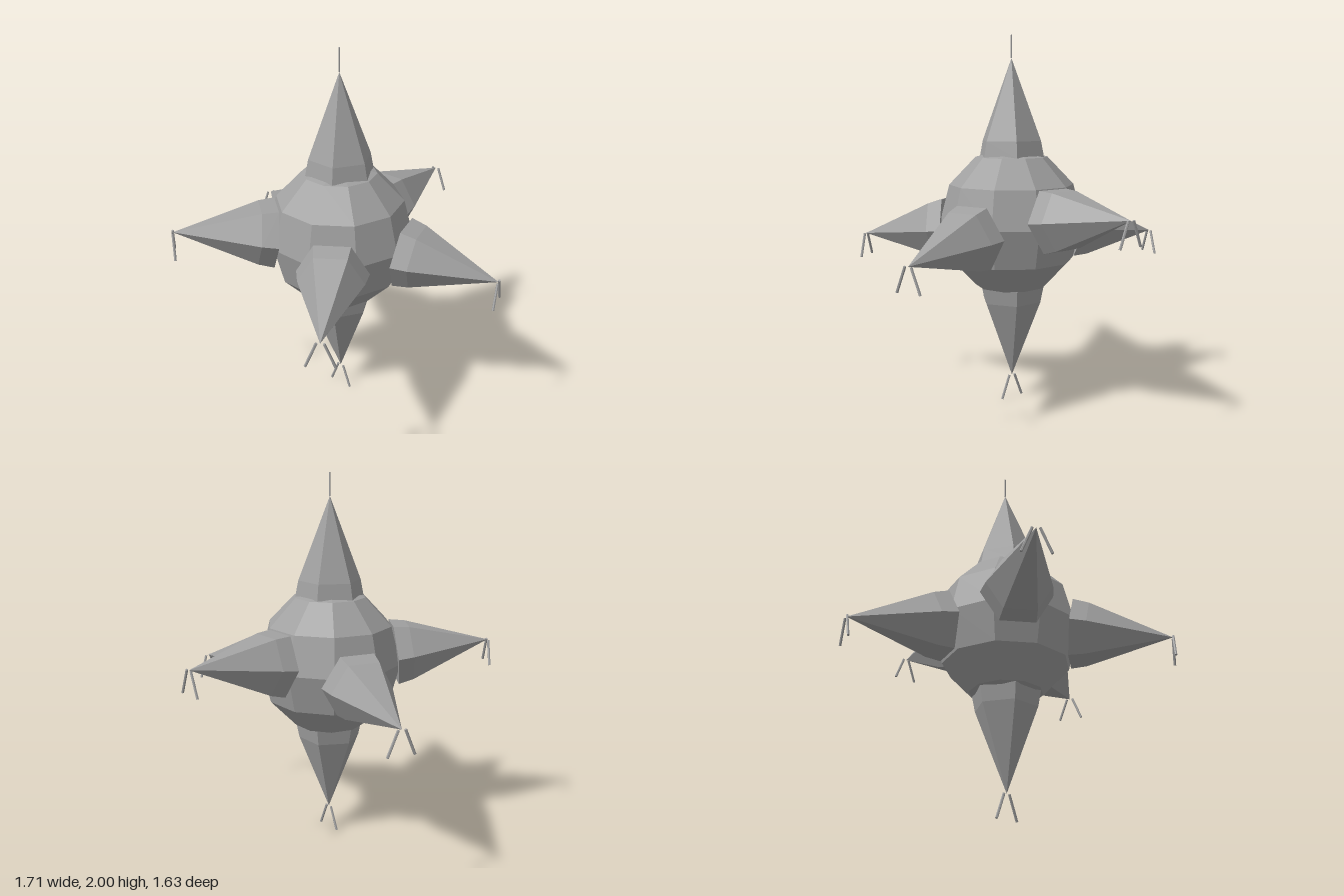
import * as THREE from 'three';

const CENTRE = new THREE.Vector3(0, 1.005, 0.065);
const REACH = 0.875; // centre to the tip of each point

export function createModel() {
  const model = new THREE.Group();
  model.name = 'starPinata';
  const paper = new THREE.MeshStandardMaterial({ color: 0xa0a0a0, flatShading: true });
  paper.name = 'grey paper';

  const add = (geometry, name) => {
    const mesh = new THREE.Mesh(geometry, paper);
    mesh.name = name;
    model.add(mesh);
    return mesh;
  };

  // Thin rod between two positions
  const rod = (from, to, radius, name) => {
    const along = to.clone().sub(from);
    const mesh = add(new THREE.CylinderGeometry(radius, radius, along.length(), 6), name);
    mesh.position.copy(from).add(to).multiplyScalar(0.5);
    mesh.quaternion.setFromUnitVectors(new THREE.Vector3(0, 1, 0), along.normalize());
  };

  // Faceted ball
  const body = add(new THREE.SphereGeometry(0.39, 10, 6), 'body');
  body.scale.y = 1.045;
  body.position.copy(CENTRE);

  // Six-sided point with a slightly bulging base
  const profile = [[0, 0.355], [0.185, 0.355], [0.168, 0.44], [0, REACH]];
  const spike = new THREE.LatheGeometry(profile.map(([r, y]) => new THREE.Vector2(r, y)), 6);
  spike.rotateY(Math.PI / 2);

  // Place a point along dir, with two of its ridges along side; returns its tip
  const addPoint = (name, dir, side) => {
    const mesh = add(spike, name);
    const third = new THREE.Vector3().crossVectors(side, dir);
    mesh.quaternion.setFromRotationMatrix(new THREE.Matrix4().makeBasis(side, dir, third));
    mesh.position.copy(CENTRE);
    return CENTRE.clone().addScaledVector(dir, REACH);
  };

  // Pair of streamers hanging from a tip, spread along side
  const addStreamers = (name, tip, side) => {
    for (const s of [-1, 1]) {
      const from = tip.clone().addScaledVector(side, s * 0.018);
      const to = tip.clone().addScaledVector(side, s * 0.07);
      to.y -= 0.128;
      rod(from, to, 0.007, name);
    }
  };

  // Upper point with its hanging string
  const xAxis = new THREE.Vector3(1, 0, 0);
  const top = addPoint('topPoint', new THREE.Vector3(0, 1, 0), xAxis);
  rod(top, new THREE.Vector3(0, 2, top.z), 0.004, 'hangingString');

  // Lower point
  const bottom = addPoint('bottomPoint', new THREE.Vector3(0, -1, 0), xAxis);
  addStreamers('bottomStreamer', bottom, xAxis);

  // Five points around the ball, tilted slightly up or down
  const arms = [
    ['back', 180, 1], ['left', 108, -1], ['right', -108, -1],
    ['frontLeft', 36, -1], ['frontRight', -36, 1],
  ];
  for (const [name, degrees, tilt] of arms) {
    const a = THREE.MathUtils.degToRad(degrees);
    const dir = new THREE.Vector3(Math.sin(a), tilt * 0.116, Math.cos(a)).normalize();
    const side = new THREE.Vector3(Math.cos(a), 0, -Math.sin(a));
    addStreamers(name + 'Streamer', addPoint(name + 'Point', dir, side), side);
  }
  return model;
}
